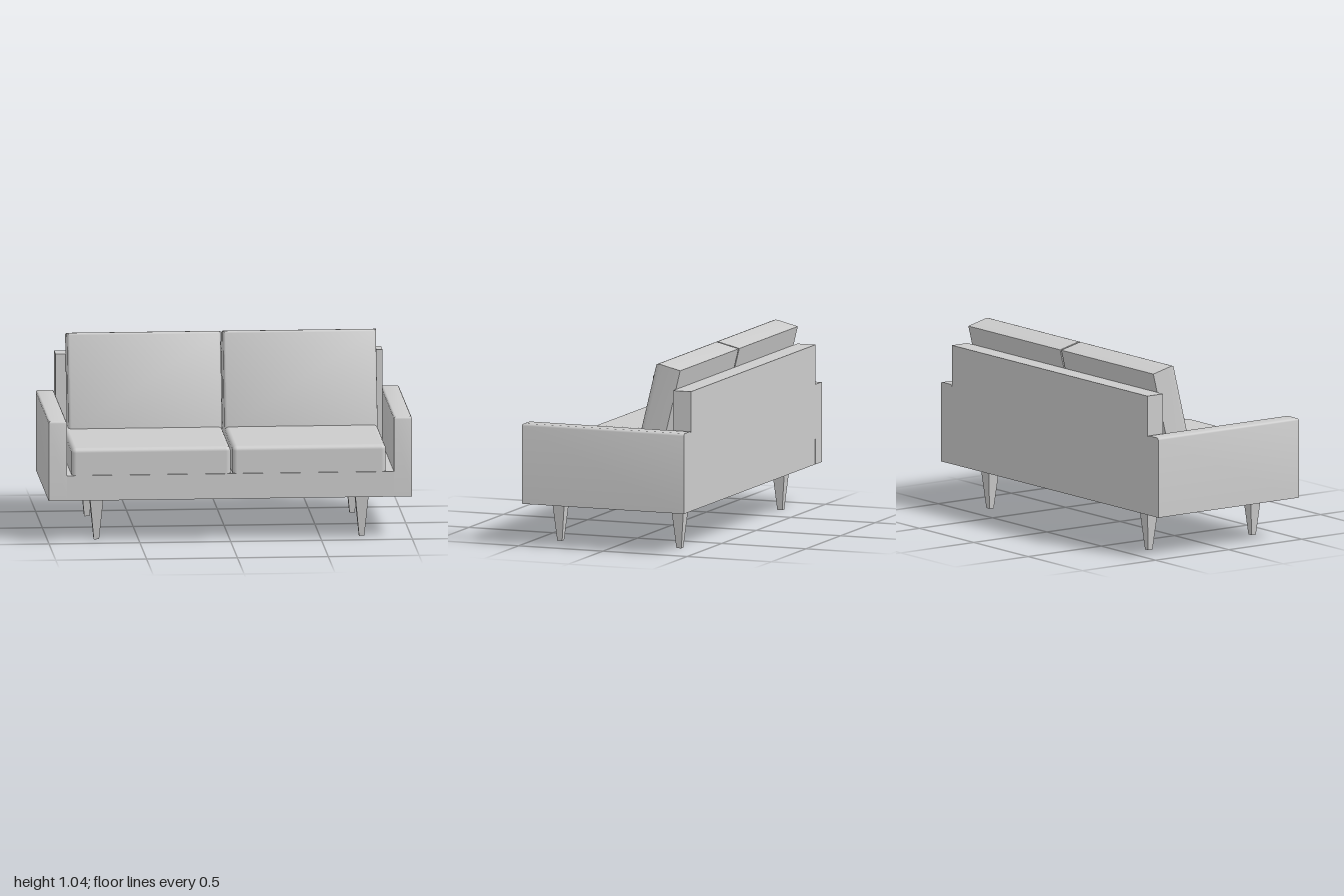
import * as THREE from 'three';
import { toCreasedNormals } from 'three/addons/utils/BufferGeometryUtils.js';
import { RoundedBoxGeometry } from 'three/addons/geometries/RoundedBoxGeometry.js';

// Block standing on z = 0 whose far (+z) face alone has rounded edges
function softFaceBlock(w, h, depth, inset, round) {
  const shape = new THREE.Shape([
    new THREE.Vector2(-w / 2, 0), new THREE.Vector2(w / 2, 0),
    new THREE.Vector2(w / 2, h), new THREE.Vector2(-w / 2, h),
  ]);
  const geo = new THREE.ExtrudeGeometry(shape, {
    depth: depth - round, bevelSize: inset, bevelThickness: round, bevelOffset: -inset, bevelSegments: 3,
  });
  const p = geo.attributes.position;
  for (let i = 0; i < p.count; i++) p.setZ(i, Math.max(0, p.getZ(i)));
  return geo;
}

export function createModel() {
  const group = new THREE.Group();
  const material = new THREE.MeshStandardMaterial({ color: 0xcccccc });
  const add = (name, geo, x = 0, y = 0, z = 0) => {
    const mesh = new THREE.Mesh(geo, material);
    mesh.name = name;
    mesh.position.set(x, y, z);
    group.add(mesh);
    return mesh;
  };

  // Frame: base and backrest panel
  add('base', new THREE.BoxGeometry(1.8, 0.14, 0.96), 0, 0.305, 0);
  add('backPanel', new THREE.BoxGeometry(1.8, 0.525, 0.106), 0, 0.6375, -0.428);

  // Arms: rounded top edges, square at the rear
  for (const [name, side] of [['rightArm', -1], ['leftArm', 1]]) {
    const geo = softFaceBlock(0.1, 0.962, 0.445, 0.013, 0.013);
    const p = geo.attributes.position;
    for (let i = 0; i < p.count; i++) if (p.getY(i) > 0.94) p.setY(i, 0.962);
    geo.rotateX(-Math.PI / 2);
    add(name, toCreasedNormals(geo, 0.7), side * 0.95, 0.235, 0.481);
  }

  // Seat and back cushions, one pair per half
  const halves = [
    { name: 'right', seat: [-0.872, 0.002], back: [-0.845, 0.002] },
    { name: 'left', seat: [0.013, 0.857], back: [0.013, 0.857] },
  ];
  const lean = 0.24, backHeight = 0.56;
  for (const { name, seat, back } of halves) {
    // The lower rounding of the seat is sunk into the base
    add(name + 'SeatCushion', new RoundedBoxGeometry(seat[1] - seat[0], 0.195, 0.85, 3, 0.025),
      (seat[0] + seat[1]) / 2, 0.4275, 0.047);
    const geo = softFaceBlock(back[1] - back[0], backHeight, 0.149, 0.016, 0.028);
    const cushion = add(name + 'BackCushion', toCreasedNormals(geo, 0.7), (back[0] + back[1]) / 2,
      1.005 - backHeight * Math.cos(lean), -0.4 + backHeight * Math.sin(lean));
    cushion.rotation.x = -lean;
  }

  // Square tapered legs
  const legGeo = new THREE.CylinderGeometry(0.038 * Math.SQRT2, 0.0145 * Math.SQRT2, 0.24, 4)
    .rotateY(Math.PI / 4).toNonIndexed();
  legGeo.computeVertexNormals();
  for (const [row, z] of [['front', 0.361], ['back', -0.346]])
    for (const [side, x] of [['Right', -0.73], ['Left', 0.73]])
      add(row + side + 'Leg', legGeo, x, 0.12, z);

  return group;
}
